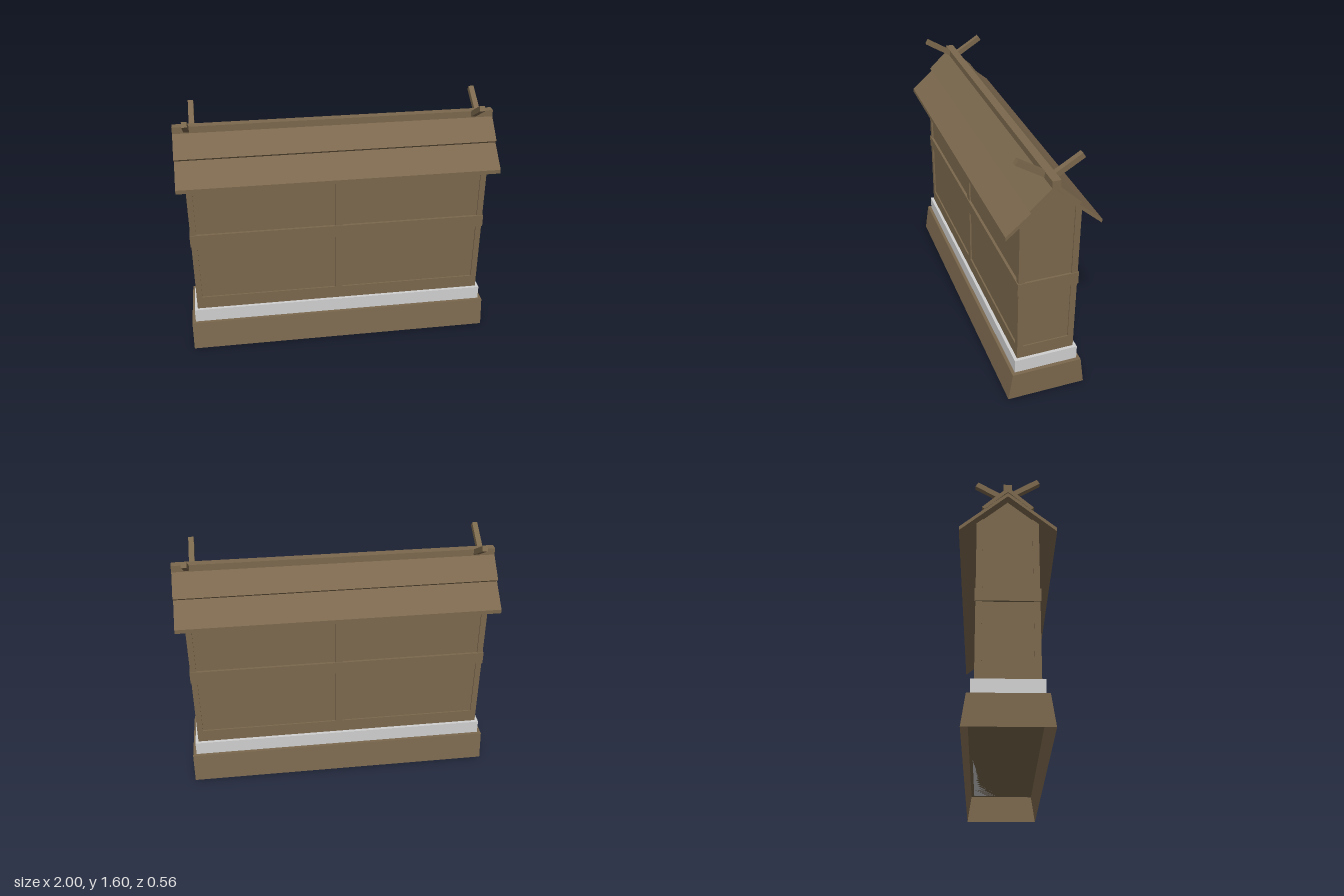
import * as THREE from 'three';

export function createModel() {
  const model = new THREE.Group();
  model.name = 'roofedWall';

  const wood = new THREE.MeshStandardMaterial({ color: 0x7b684d, side: THREE.DoubleSide });
  wood.name = 'wood';
  const plaster = new THREE.MeshStandardMaterial({ color: 0xd0d0d0 });
  plaster.name = 'pale stone';

  const add = (name, geometry, material = wood) => {
    const mesh = new THREE.Mesh(geometry, material);
    mesh.name = name;
    model.add(mesh);
    return mesh;
  };

  // Box given by its limits on each axis
  const box = (name, x0, x1, y0, y1, z0, z1, material) => {
    const g = new THREE.BoxGeometry(x1 - x0, y1 - y0, z1 - z0);
    g.translate((x0 + x1) / 2, (y0 + y1) / 2, (z0 + z1) / 2);
    return add(name, g, material);
  };

  // Cross-section of [z, y] points swept along x
  const sweep = (name, points, x0, x1) => {
    const shape = new THREE.Shape(points.map(([z, y]) => new THREE.Vector2(z, y)));
    const g = new THREE.ExtrudeGeometry(shape, { depth: x1 - x0, bevelEnabled: false });
    g.rotateY(-Math.PI / 2).translate(x1, 0, 0);
    return add(name, g);
  };

  // Plinth: sloping front and back, hollow underneath
  const plinth = new THREE.BoxGeometry(1.976, 0.187, 0.494);
  plinth.translate(0, 0.0935, 0);
  const p = plinth.attributes.position;
  for (let i = 0; i < p.count; i++) {
    if (p.getY(i) > 0.1) p.setZ(i, Math.sign(p.getZ(i)) * 0.22);
  }
  const faces = Array.from(plinth.index.array);
  faces.splice(18, 6); // leave the underside open
  plinth.setIndex(faces);
  plinth.clearGroups();
  plinth.computeVertexNormals();
  add('plinth', plinth);

  // Pale course on the plinth
  box('paleCourse', -0.965, 0.965, 0.187, 0.277, -0.2, 0.2, plaster);

  // Wall core, whose faces are the recessed panels
  sweep('wallPanels', [[-0.17, 0.27], [0.17, 0.27], [0.17, 1.28], [0, 1.427], [-0.17, 1.28]], -0.937, 0.937);

  // Sill and middle rail wrap the core
  box('sill', -0.945, 0.945, 0.277, 0.362, -0.18, 0.18);
  box('middleRail', -0.95, 0.95, 0.755, 0.835, -0.186, 0.186);

  for (const s of [1, -1]) {
    // Posts, cut to the slope of the roof
    const postSection = [[0.143, 0.362], [0.18, 0.362], [0.18, 1.271], [0.143, 1.303]].map(([z, y]) => [z * s, y]);
    sweep('cornerPost', postSection, -0.945, -0.908);
    sweep('cornerPost', postSection, 0.908, 0.945);
    sweep('middlePost', postSection, -0.024, 0.022);

    // Two overlapping roof boards on each slope
    const lower = [[0.28, 1.21], [0.28, 1.185], [0, 1.425], [0, 1.45]];
    const upper = [[0.15, 1.347], [0.134, 1.331], [0, 1.455], [0, 1.487]];
    sweep('lowerRoofBoard', lower.map(([z, y]) => [z * s, y]), -0.998, 0.998);
    sweep('upperRoofBoard', upper.map(([z, y]) => [z * s, y]), -1, 1);
  }

  // Ridge beam
  box('ridgeBeam', -1, 1, 1.45, 1.506, -0.025, 0.025);

  // Crossed finials, each pair side by side near the roof ends
  const tilt = 0.55;
  const length = 0.215;
  for (const x of [-0.898, 0.892]) {
    for (const s of [1, -1]) {
      const finial = add('crossedFinial', new THREE.BoxGeometry(0.033, 0.033, length));
      const mid = length / 2;
      finial.position.set(x - s * 0.0165, 1.473 + mid * Math.sin(tilt), s * mid * Math.cos(tilt));
      finial.rotation.x = -s * tilt;
    }
  }

  return model;
}
